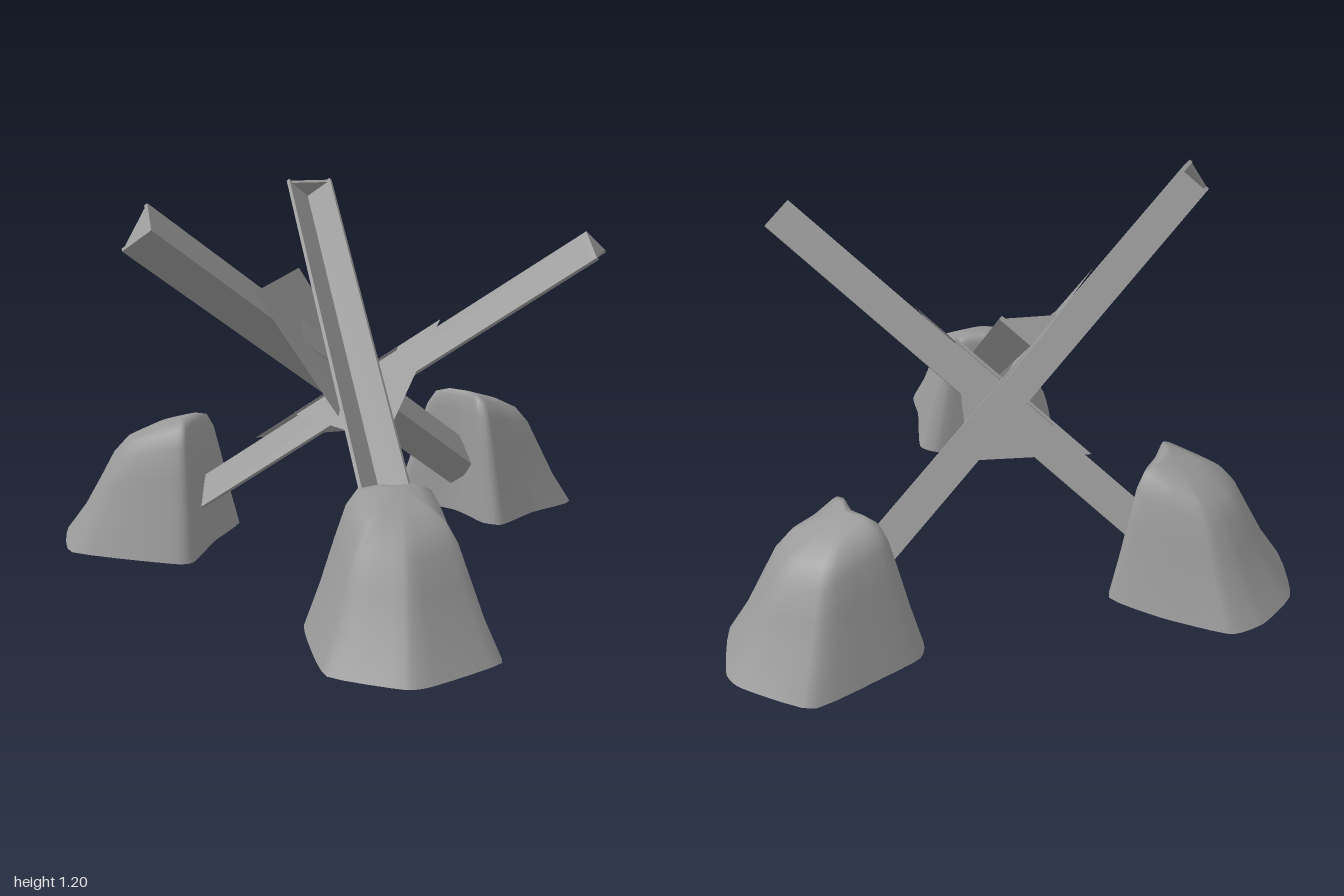
import * as THREE from 'three';

const V = (x, y, z) => new THREE.Vector3(x, y, z);
const material = new THREE.MeshStandardMaterial({ color: 0x999999, side: THREE.DoubleSide });

// Three mutually perpendicular beam directions, one every 120 degrees around y
const axis = (deg) => {
  const a = THREE.MathUtils.degToRad(deg);
  return V(Math.sqrt(2 / 3) * Math.cos(a), Math.sqrt(1 / 3), Math.sqrt(2 / 3) * Math.sin(a));
};
const A = axis(6), B = axis(-114), C = axis(126);

const LEG = 0.112, WALL = 0.012, LENGTH = 1.68;

function addMesh(parent, name, geometry) {
  const mesh = new THREE.Mesh(geometry, material);
  mesh.name = name;
  parent.add(mesh);
}

function polygonShape(points) {
  return new THREE.Shape(points.map(([x, y]) => new THREE.Vector2(x, y)));
}

// Angle-iron beam: its outer corner starts at top and runs down against dir;
// the two flanges point along p and q
function makeBeam(name, top, dir, p, q) {
  const down = dir.clone().negate();
  if (p.clone().cross(q).dot(down) < 0) [p, q] = [q, p];
  const beam = new THREE.Group();
  beam.name = name;
  const section = polygonShape([[0, 0], [LEG, 0], [LEG, WALL], [WALL, WALL], [WALL, LEG], [0, LEG]]);
  addMesh(beam, 'angleIron', new THREE.ExtrudeGeometry(section, { depth: LENGTH, bevelEnabled: false }));
  const cap = polygonShape([[0, 0], [LEG, 0], [0, LEG]]);
  addMesh(beam, 'endCap', new THREE.ExtrudeGeometry(cap, { depth: WALL, bevelEnabled: false }));
  beam.applyMatrix4(new THREE.Matrix4().makeBasis(p, q, down).setPosition(top));
  return beam;
}

// Flat plate, fanned out from its first corner
function plateGeometry(corners) {
  const index = [];
  for (let i = 1; i < corners.length - 1; i++) index.push(0, i, i + 1);
  const g = new THREE.BufferGeometry().setFromPoints(corners);
  g.setIndex(index);
  g.computeVertexNormals();
  return g;
}

// Hollow foot: the base outline shrinks towards the crown, ring by ring,
// and the upper rings tilt down towards the outside: [scale, height]
const RINGS = [[1, 0.005], [0.83, 0.13], [0.68, 0.26], [0.57, 0.35], [0.45, 0.4], [0.26, 0.42], [0, 0.425]];
const TILT = 0.3;
function footGeometry(outline, crown) {
  const n = 40;
  const curve = new THREE.CatmullRomCurve3(outline.map(([x, z]) => V(x, 0, z)), true, 'catmullrom', 0.25);
  const base = curve.getPoints(n).slice(0, n);
  const center = V(crown[0], 0, crown[1]);
  const outward = center.clone().normalize();
  const points = [], index = [];
  for (const [s, h] of RINGS) {
    for (const b of base) {
      const offset = b.clone().sub(center).multiplyScalar(s);
      const drop = TILT * offset.dot(outward) * (h - RINGS[0][1]) / 0.42;
      points.push(offset.add(center).setY(h - drop));
    }
  }
  for (let r = 0; r < RINGS.length - 1; r++) {
    for (let i = 0; i < n; i++) {
      const a = r * n + i, b = r * n + (i + 1) % n;
      index.push(a, a + n, b);
      if (r < RINGS.length - 2) index.push(b, a + n, b + n);
    }
  }
  const g = new THREE.BufferGeometry().setFromPoints(points);
  g.setIndex(index);
  g.computeVertexNormals();
  // the crown vertices share one normal
  const up = outward.clone().multiplyScalar(TILT).setY(1).normalize();
  for (let i = 0; i < n; i++) g.attributes.normal.setXYZ((RINGS.length - 1) * n + i, up.x, up.y, up.z);
  return g;
}

export function createModel() {
  const model = new THREE.Group();
  model.name = 'beamObstacle';

  // Three crossing beams
  const neg = (v) => v.clone().negate();
  const topA = V(0.83, 1.1, 0.09);
  model.add(makeBeam('leftBeam', topA, A, neg(B), neg(C)));
  model.add(makeBeam('backBeam', V(-0.17, 1.088, -0.6), B, A.clone(), C.clone()));
  model.add(makeBeam('frontBeam', V(-0.35, 1.14, 0.6), C, B.clone(), neg(A)));

  // Square gusset joining the back and front beams, notched over the left beam
  addMesh(model, 'squareGusset', plateGeometry([
    V(0.095, 0.585, 0.03), V(0.14, 0.54, -0.17), V(-0.105, 0.91, -0.19),
    V(-0.14, 0.91, 0.26), V(0.12, 0.54, 0.27),
  ]));

  // Triangular gussets lying on the two flanges of the left beam
  const gusset = (name, from, to, reach, side, normal) => {
    const at = (d, rise) => topA.clone().addScaledVector(A, -d)
      .addScaledVector(normal, 0.004).addScaledVector(side, rise);
    addMesh(model, name, plateGeometry([at(from, 0.015), at(to, 0.015), at((from + to) / 2, -reach)]));
  };
  gusset('frontGusset', 0.53, 1.12, 0.29, B, C);
  gusset('backGusset', 0.69, 1.27, 0.26, C, B);

  // Feet under the lower beam ends: crown, then base outline in x, z
  const feet = [
    ['rightFoot', [-0.47, -0.03], [[-0.89, -0.08], [-0.79, 0.17], [-0.43, 0.21], [-0.37, 0.18], [-0.36, -0.03],
      [-0.33, -0.25], [-0.52, -0.31], [-0.74, -0.33], [-0.83, -0.25]]],
    ['frontFoot', [0.36, 0.58], [[0.09, 0.59], [0.3, 0.5], [0.46, 0.41], [0.54, 0.43], [0.62, 0.64],
      [0.68, 0.77], [0.52, 0.96], [0.45, 1.0], [0.23, 0.96], [0.14, 0.77]]],
    ['backFoot', [0.41, -0.59], [[0.38, -1.0], [0.24, -0.83], [0.15, -0.7], [0.17, -0.62], [0.38, -0.53],
      [0.49, -0.41], [0.56, -0.4], [0.65, -0.56], [0.77, -0.71], [0.69, -0.92], [0.62, -0.97]]],
  ];
  for (const [name, crown, outline] of feet) {
    // list every outline in the same turning sense so the faces point outward
    const area = outline.reduce((sum, [x, z], i) => {
      const [nx, nz] = outline[(i + 1) % outline.length];
      return sum + x * nz - nx * z;
    }, 0);
    addMesh(model, name, footGeometry(area > 0 ? outline : outline.slice().reverse(), crown));
  }
  return model;
}
